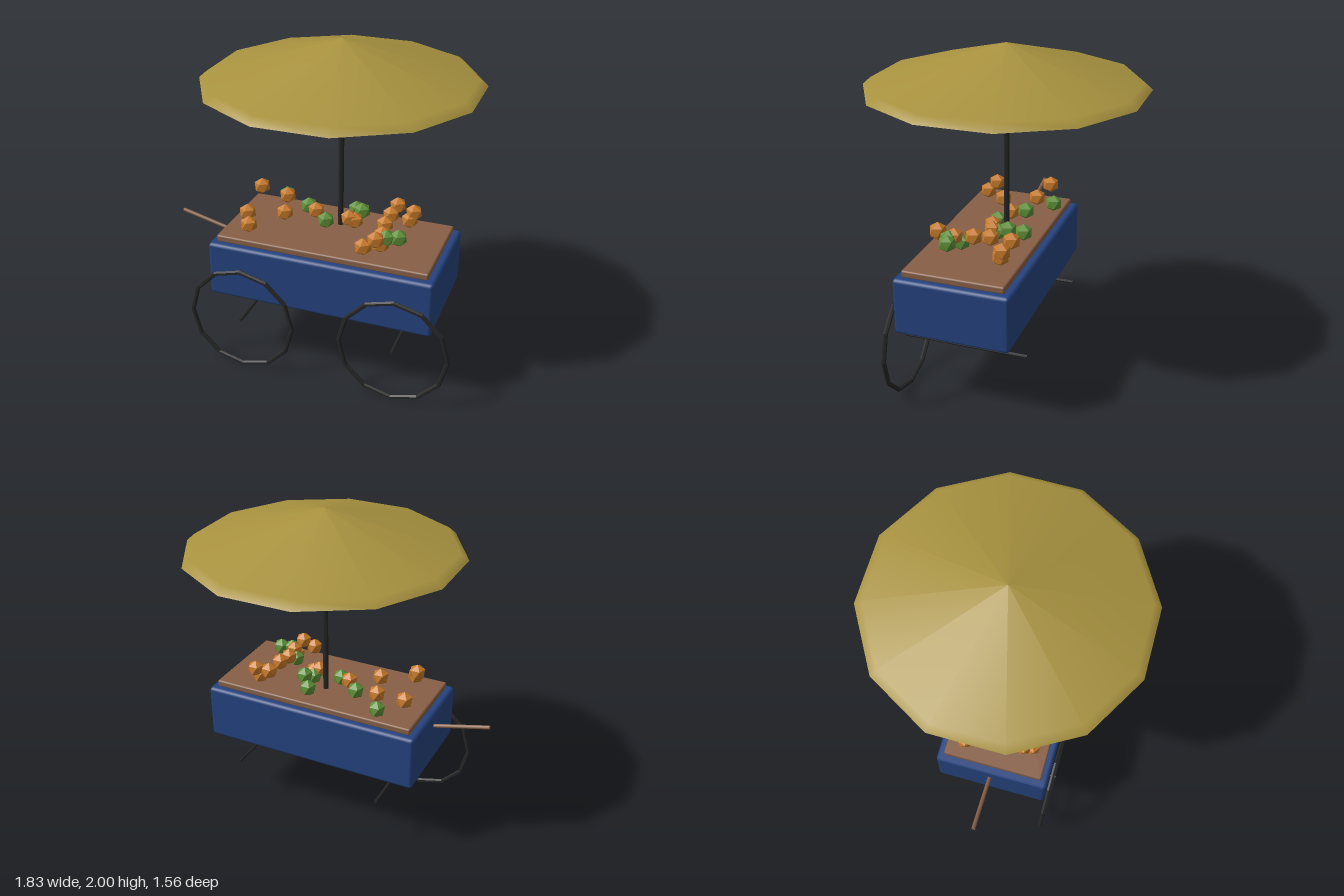
import * as THREE from 'three';
import { RoundedBoxGeometry } from 'three/addons/geometries/RoundedBoxGeometry.js';

const material = (name, color, flatShading = false) => {
  const m = new THREE.MeshStandardMaterial({ color, flatShading });
  m.name = name;
  return m;
};

export function createModel() {
  const canvas = material('mustard canvas', 0xa8923f);
  const blue = material('blue paint', 0x25437f);
  const wood = material('brown wood', 0x875f46);
  const iron = material('black iron', 0x262626, true);
  const orange = material('orange skin', 0xc87b2a, true);
  const green = material('green skin', 0x5f9038, true);

  const model = new THREE.Group();
  model.name = 'fruitCart';
  const add = (name, geometry, mat, x = 0, y = 0, z = 0) => {
    const mesh = new THREE.Mesh(geometry, mat);
    mesh.name = name;
    mesh.position.set(x, y, z);
    model.add(mesh);
    return mesh;
  };

  // Cart box and the tray on top
  add('cartBody', new RoundedBoxGeometry(1.36, 0.34, 0.68, 1, 0.02), blue, 0.11, 0.64, 0.087);
  add('tray', new RoundedBoxGeometry(1.28, 0.042, 0.6, 1, 0.01), wood, 0.11, 0.83, 0.087);

  // Pull handle
  const start = new THREE.Vector3(-0.91, 0.805, 0.082);
  const end = new THREE.Vector3(-0.5, 0.703, 0.082);
  const handle = add('handle', new THREE.CylinderGeometry(0.012, 0.012, start.distanceTo(end), 8), wood);
  handle.position.lerpVectors(start, end, 0.5);
  handle.quaternion.setFromUnitVectors(new THREE.Vector3(0, 1, 0), end.clone().sub(start).normalize());

  // Wheel rims on the front side, with axles running under the body
  const rim = new THREE.TorusGeometry(0.324, 0.014, 6, 12);
  const axle = new THREE.CylinderGeometry(0.01, 0.01, 0.75, 8).rotateX(Math.PI / 2);
  for (const x of [-0.362, 0.578]) {
    add('wheel', rim, iron, x, 0.339, 0.445);
    add('axle', axle, iron, x, 0.339, 0.087);
  }

  // Parasol: pole, twelve-sided canopy and its flat underside
  add('pole', new THREE.CylinderGeometry(0.017, 0.017, 0.93, 8), iron, 0.107, 1.3, 0);
  const profile = [[0.808, 1.75], [0.762, 1.79], [0, 2]].map(([r, y]) => new THREE.Vector2(r, y));
  add('canopy', new THREE.LatheGeometry(profile, 12, Math.PI / 12), canvas, 0.107);
  const underside = new THREE.CircleGeometry(0.808, 12, Math.PI / 12).rotateX(Math.PI / 2);
  add('canopyUnderside', underside, canvas, 0.107, 1.75, 0);

  // Scattered fruit, each standing on one vertex
  const fruit = new THREE.IcosahedronGeometry(0.053, 0).rotateX(-Math.atan2((1 + Math.sqrt(5)) / 2, 1));
  const oranges = [
    [-0.447, 0.966, -0.1], [-0.39, 0.96, 0.24], [-0.362, 0.908, 0.29], [-0.262, 0.947, -0.07],
    [-0.198, 0.94, 0.13], [-0.04, 0.93, 0.024], [0.18, 0.934, 0.06], [0.214, 0.92, 0.05],
    [0.355, 0.92, 0.33], [0.42, 0.962, 0.305], [0.43, 0.9, 0.235], [0.43, 0.945, 0.2],
    [0.41, 0.952, 0.09], [0.415, 0.965, -0.013], [0.42, 0.965, -0.14], [0.525, 0.945, -0.12],
    [0.505, 0.9, -0.105],
  ];
  const greens = [
    [-0.304, 0.903, -0.165], [-0.114, 0.915, -0.046], [0.04, 0.903, 0.076], [0.165, 0.903, -0.125],
    [0.225, 0.936, -0.05], [0.2, 0.903, 0.02], [0.525, 0.942, 0.205], [0.46, 0.94, 0.225],
    [0.4, 0.903, 0.17],
  ];
  oranges.forEach((p) => add('orangeFruit', fruit, orange, ...p));
  greens.forEach((p) => add('greenFruit', fruit, green, ...p));

  return model;
}
